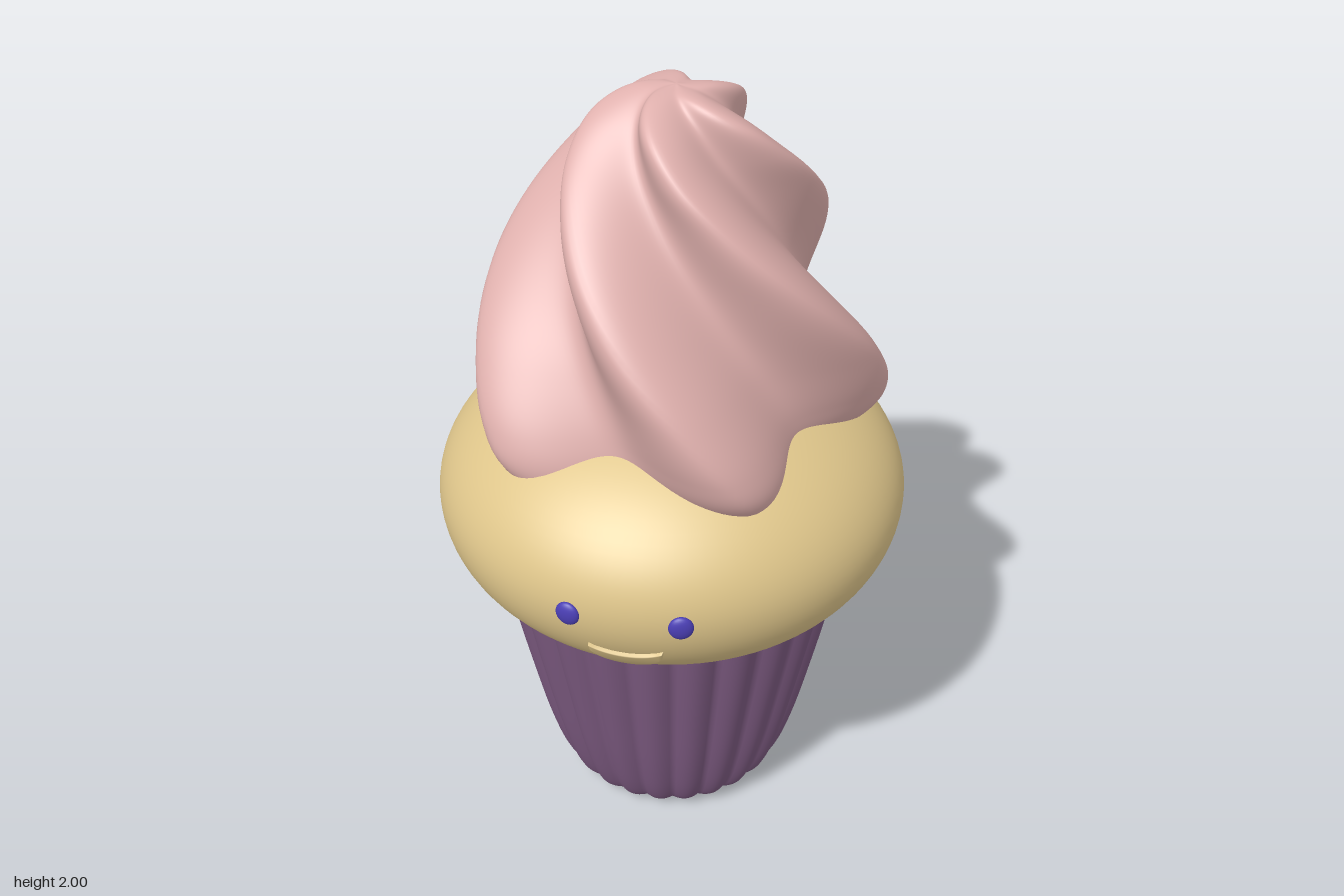
import * as THREE from 'three';
import { mergeVertices } from 'three/addons/utils/BufferGeometryUtils.js';

const CAKE = { r: 0.592, y: 0.94, up: 0.35, down: 0.37 };

function part(name, geometry, color) {
  const mesh = new THREE.Mesh(geometry, new THREE.MeshStandardMaterial({ color }));
  mesh.name = name;
  return mesh;
}

// Weld seams so the normals run smoothly all round
function smooth(geometry) {
  geometry.deleteAttribute('uv');
  geometry.deleteAttribute('normal');
  const welded = mergeVertices(geometry, 1e-5);
  welded.computeVertexNormals();
  return welded;
}

// Lathe whose radius is scaled by rule(angle, profilePoint)
function shapedLathe(points, segments, rule) {
  const g = new THREE.LatheGeometry(points.map(p => new THREE.Vector2(Math.max(p.x, 0), p.y)), segments);
  const pos = g.attributes.position;
  for (let i = 0; i < pos.count; i++) {
    const x = pos.getX(i), z = pos.getZ(i);
    const k = rule(Math.atan2(z, x), points[i % points.length]);
    pos.setX(i, x * k);
    pos.setZ(i, z * k);
  }
  return smooth(g);
}

const spline = (rows, n) =>
  new THREE.CatmullRomCurve3(rows.map(r => new THREE.Vector3(...r))).getPoints(n);

// Point on the cake surface; angle runs from +x towards +z
function onCake(angle, y, lift = 0) {
  const b = y > CAKE.y ? CAKE.up : CAKE.down;
  const r = CAKE.r * Math.sqrt(1 - ((y - CAKE.y) / b) ** 2) + lift;
  return new THREE.Vector3(r * Math.cos(angle), y, r * Math.sin(angle));
}

// Pleated paper cup
function makeCup() {
  const profile = spline([
    [0, 0.008, 0], [0.2, 0.005, 0], [0.25, 0.008, 0], [0.285, 0.035, 0], [0.315, 0.09, 0],
    [0.355, 0.22, 0], [0.405, 0.45, 0], [0.449, 0.68, 0], [0.455, 0.72, 0],
  ], 48);
  const geometry = shapedLathe(profile, 240, a => 1 - 0.045 * (1 - Math.abs(Math.cos(12 * a))));
  const cup = part('paperCup', geometry, 0x7c5a80);
  cup.material.side = THREE.DoubleSide;
  return cup;
}

// Bulging sponge
function makeCake() {
  const points = [];
  for (let i = 0; i <= 48; i++) {
    const t = -Math.PI / 2 + (Math.PI * i) / 48;
    const b = t > 0 ? CAKE.up : CAKE.down;
    points.push(new THREE.Vector3(CAKE.r * Math.cos(t), CAKE.y + b * Math.sin(t), 0));
  }
  return part('cake', shapedLathe(points, 96, () => 1), 0xdfc68b);
}

// Five-lobed swirl: each row is ridge radius, height, twist in degrees
function makeFrosting() {
  const profile = spline([
    [0.4, 1.04, 44], [0.47, 1.11, 48], [0.515, 1.18, 53], [0.522, 1.26, 59], [0.495, 1.39, 71],
    [0.45, 1.52, 86], [0.39, 1.65, 103], [0.32, 1.77, 122], [0.26, 1.86, 140],
    [0.19, 1.94, 159], [0.1, 1.987, 178], [0, 2.0, 195],
  ], 90);
  const geometry = shapedLathe(profile, 160, (a, p) => {
    const valley = 0.5 - 0.5 * Math.cos(5 * (a - THREE.MathUtils.degToRad(p.z)));
    const depth = THREE.MathUtils.mapLinear(p.y, 1.0, 2.0, 0.25, 0.42);
    return 1 - depth * Math.pow(valley, 0.85);
  });
  const frosting = part('frosting', geometry, 0xdfb0ad);
  frosting.position.set(0.03, 0, -0.01);
  return frosting;
}

// Smiling mouth raised slightly from the cake, curving with it
function makeMouth(angle) {
  const g = new THREE.PlaneGeometry(2, 2, 24, 10);
  const pos = g.attributes.position;
  for (let i = 0; i < pos.count; i++) {
    const u = pos.getX(i), v = (pos.getY(i) + 1) / 2;
    const top = 0.835 + 0.02 * u * u;
    const bottom = 0.855 - 0.1 * Math.sqrt(Math.max(0, 1 - u * u));
    const y = THREE.MathUtils.lerp(bottom, top, v);
    const edge = Math.abs(u) > 0.99 || v < 0.01 || v > 0.99;
    const p = onCake(angle - u * 0.165, y, edge ? -0.01 : 0.009);
    pos.setXYZ(i, p.x, p.y, p.z);
  }
  const mouth = part('mouth', smooth(g), 0xdfc68b);
  mouth.material.side = THREE.DoubleSide;
  return mouth;
}

export function createModel() {
  const model = new THREE.Group();
  model.name = 'cupcake';
  model.add(makeCup(), makeCake(), makeFrosting());

  // Face, turned towards the model's right
  const face = new THREE.Group();
  face.name = 'face';
  const faceAngle = THREE.MathUtils.degToRad(154);
  for (const side of [-1, 1]) {
    const a = faceAngle + side * 0.228;
    const eye = part(side < 0 ? 'leftEye' : 'rightEye', new THREE.SphereGeometry(1, 24, 16), 0x4b3fb5);
    eye.scale.set(0.03, 0.032, 0.014);
    eye.position.copy(onCake(a, 0.942));
    eye.rotation.y = Math.PI / 2 - a;
    face.add(eye);
  }
  face.add(makeMouth(faceAngle));
  model.add(face);
  return model;
}
